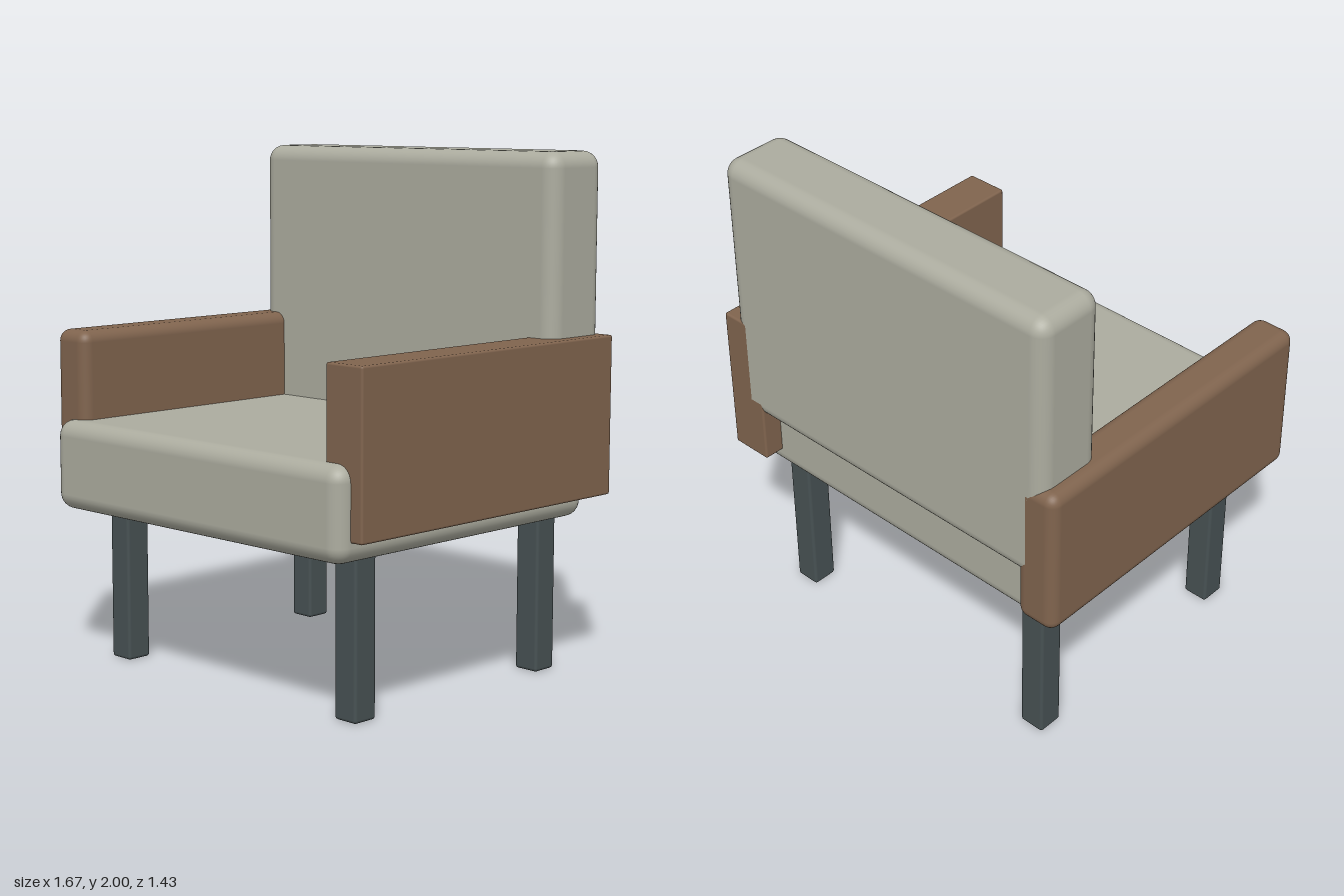
import * as THREE from 'three';
import { RoundedBoxGeometry } from 'three/addons/geometries/RoundedBoxGeometry.js';

function material(name, color) {
  const m = new THREE.MeshStandardMaterial({ color });
  m.name = name;
  return m;
}

// Soft-edged block given by its minimum and maximum corners
function block(name, mat, min, max, radius, segments = 4) {
  const size = max.map((v, i) => v - min[i]);
  const mesh = new THREE.Mesh(new RoundedBoxGeometry(...size, segments, radius), mat);
  mesh.position.set(...max.map((v, i) => (v + min[i]) / 2));
  mesh.name = name;
  return mesh;
}

export function createModel() {
  const fabric = material('warm grey fabric', 0xacac9f);
  const wood = material('brown wood', 0x80644e);
  const metal = material('dark slate', 0x475153);

  const chair = new THREE.Group();
  chair.name = 'armchair';

  // Cushions
  chair.add(block('seat', fabric, [-0.78, 0.61, -0.63], [0.78, 0.96, 0.713], 0.062));
  chair.add(block('backrest', fabric, [-0.78, 0.89, -0.713], [0.78, 2, -0.415], 0.062));

  // Arms: the right one is softly rounded, the left one nearly square
  chair.add(block('rightArm', wood, [-0.835, 0.69, -0.713], [-0.66, 1.305, 0.653], 0.045));
  chair.add(block('leftArm', wood, [0.657, 0.69, -0.713], [0.833, 1.305, 0.653], 0.009, 2));

  // Legs
  for (const [end, z] of [['front', 0.468], ['back', -0.529]]) {
    for (const [side, x] of [['Left', 0.622], ['Right', -0.622]]) {
      chair.add(block(`${end}${side}Leg`, metal,
        [x - 0.053, 0, z - 0.053], [x + 0.053, 0.615, z + 0.053], 0.012, 2));
    }
  }
  return chair;
}
